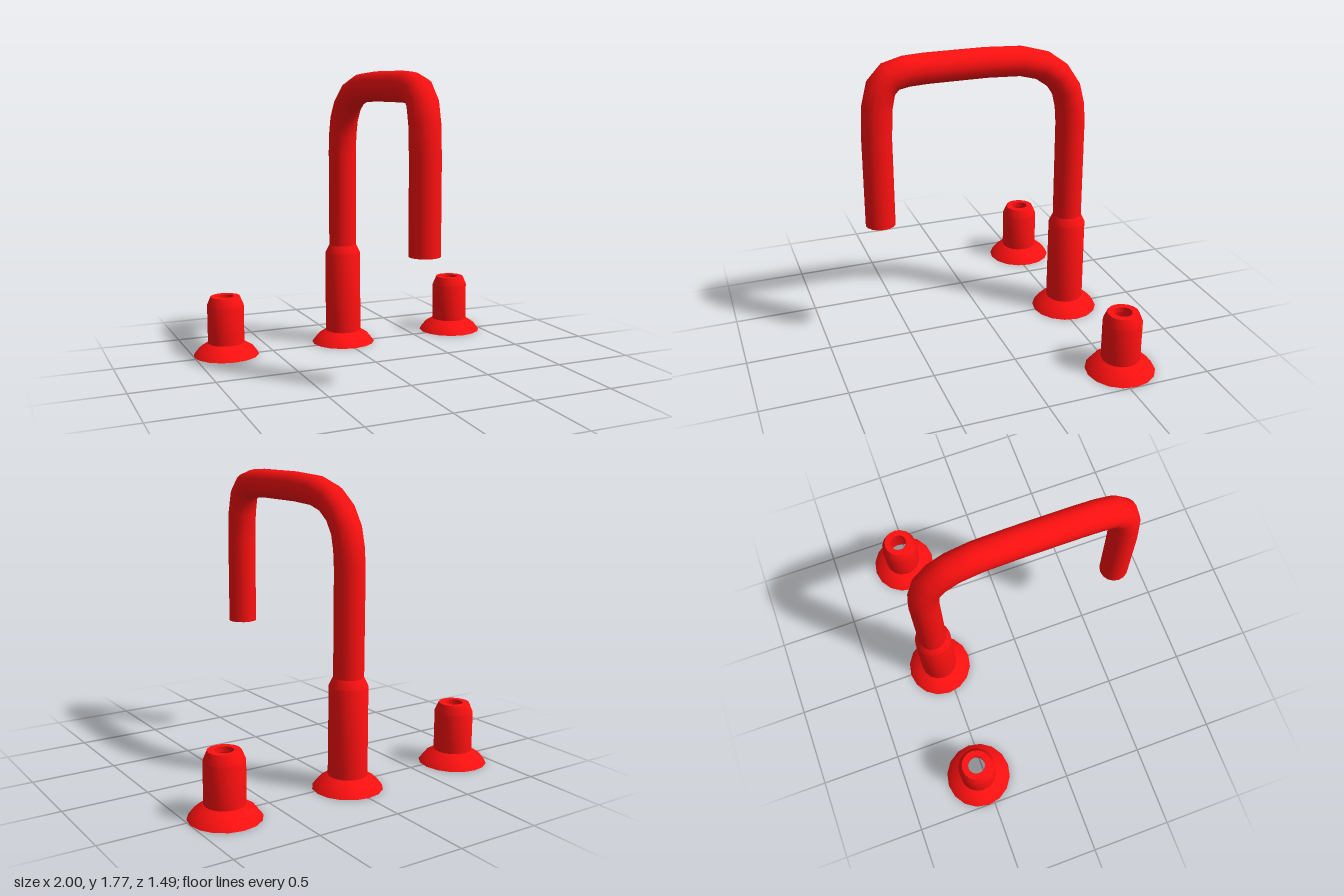
import * as THREE from 'three';
import { toCreasedNormals } from 'three/addons/utils/BufferGeometryUtils.js';

const SIDES = 16;
const BACK_Z = -0.54;
const HANDLE_X = 0.795;

const material = new THREE.MeshStandardMaterial({ color: 0xff1010, side: THREE.DoubleSide });

// Flared foot shared by the spout base and both handles
const FOOT = [[0.205, 0], [0.17, 0.045], [0.115, 0.08]];

function turned(name, profile, x) {
  const points = profile.map(([r, y]) => new THREE.Vector2(r, y));
  const geometry = toCreasedNormals(new THREE.LatheGeometry(points, SIDES), 0.5);
  const mesh = new THREE.Mesh(geometry, material);
  mesh.name = name;
  mesh.position.set(x, 0, BACK_Z);
  return mesh;
}

// Path whose tube rings fall exactly on the given points
class BendPath extends THREE.Curve {
  constructor(points) {
    super();
    this.points = points;
  }
  getPointAt(u, target = new THREE.Vector3()) {
    const i = Math.round(u * (this.points.length - 1));
    return target.copy(this.points[i]);
  }
  getTangentAt(u, target = new THREE.Vector3()) {
    const p = this.points, last = p.length - 1;
    const i = Math.round(u * last);
    // Average of the neighbouring segment directions
    target.set(0, 0, 0);
    if (i > 0) target.add(p[i].clone().sub(p[i - 1]).normalize());
    if (i < last) target.add(p[i + 1].clone().sub(p[i]).normalize());
    return target.normalize();
  }
}

export function createModel() {
  const group = new THREE.Group();
  group.name = 'tap';

  // Spout base with chamfered collar
  group.add(turned('spoutBase', [...FOOT, [0.113, 0.6], [0.088, 0.65]], 0));

  // Handles: open stubs with a chamfered rim and a round bore
  const handle = [...FOOT, [0.115, 0.32], [0.092, 0.375], [0.053, 0.375], [0.053, 0.345]];
  group.add(turned('leftHandle', handle, HANDLE_X));
  group.add(turned('rightHandle', handle, -HANDLE_X));

  // Gooseneck pipe: wide bend at the back, tighter one at the front [z, y]
  const path = [
    [-0.54, 0.64], [-0.539, 1.26], [-0.53, 1.37], [-0.505, 1.47], [-0.445, 1.56],
    [-0.35, 1.628], [-0.21, 1.667], [0, 1.678], [0.36, 1.678], [0.475, 1.672],
    [0.565, 1.65], [0.62, 1.59], [0.646, 1.48], [0.656, 1.3], [0.656, 0.768],
  ].map(([z, y]) => new THREE.Vector3(0, y, z));
  const spout = new THREE.Mesh(
    new THREE.TubeGeometry(new BendPath(path), path.length - 1, 0.088, SIDES),
    material
  );
  spout.name = 'spout';
  group.add(spout);

  return group;
}
